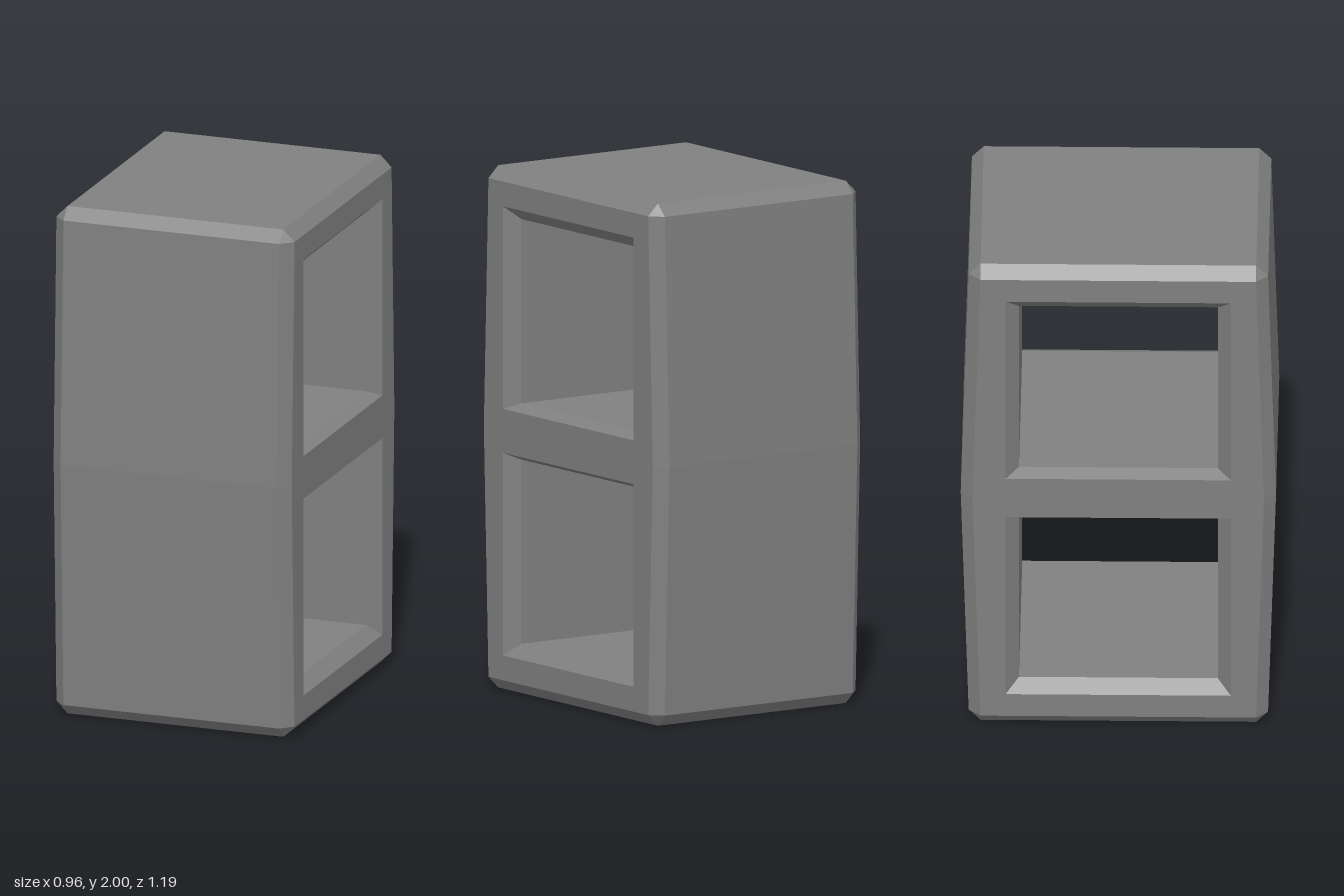
import * as THREE from 'three';

const HALF_X = 0.48, BEVEL = 0.045;

// Flat-shaded skin between successive loops of points; skip(i, j) leaves faces out
function loft(loops, skip = () => false) {
  const out = [];
  const tri = (a, b, c) => {
    const area = b.clone().sub(a).cross(c.clone().sub(a)).length();
    if (area > 1e-7) for (const p of [a, b, c]) out.push(p.x, p.y, p.z);
  };
  for (let i = 0; i < loops.length - 1; i++) {
    const n = loops[i].length;
    for (let j = 0; j < n; j++) {
      if (skip(i, j)) continue;
      const k = (j + 1) % n;
      tri(loops[i][j], loops[i][k], loops[i + 1][k]);
      tri(loops[i][j], loops[i + 1][k], loops[i + 1][j]);
    }
  }
  const g = new THREE.BufferGeometry();
  g.setAttribute('position', new THREE.Float32BufferAttribute(out, 3));
  g.computeVertexNormals();
  return g;
}

// Horizontal octagon; zs is the half depth at the sides, xf and zf those of the front edge
function octagon(y, xs, zs, xf, zf) {
  return [[xs, zs], [xs, -zs], [xf, -zf], [-xf, -zf], [-xs, -zs], [-xs, zs], [-xf, zf], [xf, zf]]
    .map(([x, z]) => new THREE.Vector3(x, y, z));
}

// Rectangle across a tunnel at a given x
function rect(x, z, y0, y1) {
  return [[-z, y0], [z, y0], [z, y1], [-z, y1]].map(([pz, py]) => new THREE.Vector3(x, py, pz));
}

export function createModel() {
  const group = new THREE.Group();
  group.name = 'hollowBlock';
  const concrete = new THREE.MeshStandardMaterial({ color: 0x808080 });
  concrete.name = 'concreteGrey';
  const add = (geometry, name) => {
    const mesh = new THREE.Mesh(geometry, concrete);
    mesh.name = name;
    group.add(mesh);
    return mesh;
  };

  // Bevelled outer walls, bulging slightly at mid height
  const xf = HALF_X - BEVEL, zEnd = 0.52, zMid = 0.55;
  add(loft([
    octagon(0, xf, zEnd, xf, zEnd),
    octagon(BEVEL, HALF_X, zEnd, xf, zEnd + BEVEL),
    octagon(1, HALF_X, zMid, xf, zMid + BEVEL),
    octagon(2 - BEVEL, HALF_X, zEnd, xf, zEnd + BEVEL),
    octagon(2, xf, zEnd, xf, zEnd),
  ], (i, j) => (i === 1 || i === 2) && j % 4 === 0), 'outerWalls');

  // Flat top and bottom
  for (const [name, y, turn] of [['topFace', 2, -1], ['bottomFace', 0, 1]]) {
    const cap = new THREE.PlaneGeometry(2 * xf, 2 * zEnd);
    add(cap.rotateX(turn * Math.PI / 2).translate(0, y, 0), name);
  }

  // Two square tunnels with chamfered rims
  const rimZ = 0.425, innerZ = 0.375;
  const tunnels = [
    { name: 'lowerTunnel', rim: [0.14, 0.916], inner: [0.187, 0.892] },
    { name: 'upperTunnel', rim: [1.084, 1.86], inner: [1.108, 1.813] },
  ];
  for (const { name, rim, inner } of tunnels) {
    const xi = HALF_X - 0.05;
    add(loft([
      rect(-HALF_X, rimZ, ...rim), rect(-xi, innerZ, ...inner),
      rect(xi, innerZ, ...inner), rect(HALF_X, rimZ, ...rim),
    ]), name);
  }

  // Side faces with the two openings
  const outline = [
    [-zEnd, BEVEL], [zEnd, BEVEL], [zMid, 1],
    [zEnd, 2 - BEVEL], [-zEnd, 2 - BEVEL], [-zMid, 1],
  ];
  const face = new THREE.Shape(outline.map(([z, y]) => new THREE.Vector2(z, y)));
  for (const { rim: [y0, y1] } of tunnels) {
    face.holes.push(new THREE.Path([[-rimZ, y0], [-rimZ, y1], [rimZ, y1], [rimZ, y0]]
      .map(([z, y]) => new THREE.Vector2(z, y))));
  }
  for (const s of [1, -1]) {
    const g = new THREE.ShapeGeometry(face).rotateY(s * Math.PI / 2).translate(s * HALF_X, 0, 0);
    add(g, s > 0 ? 'leftFace' : 'rightFace');
  }
  return group;
}
